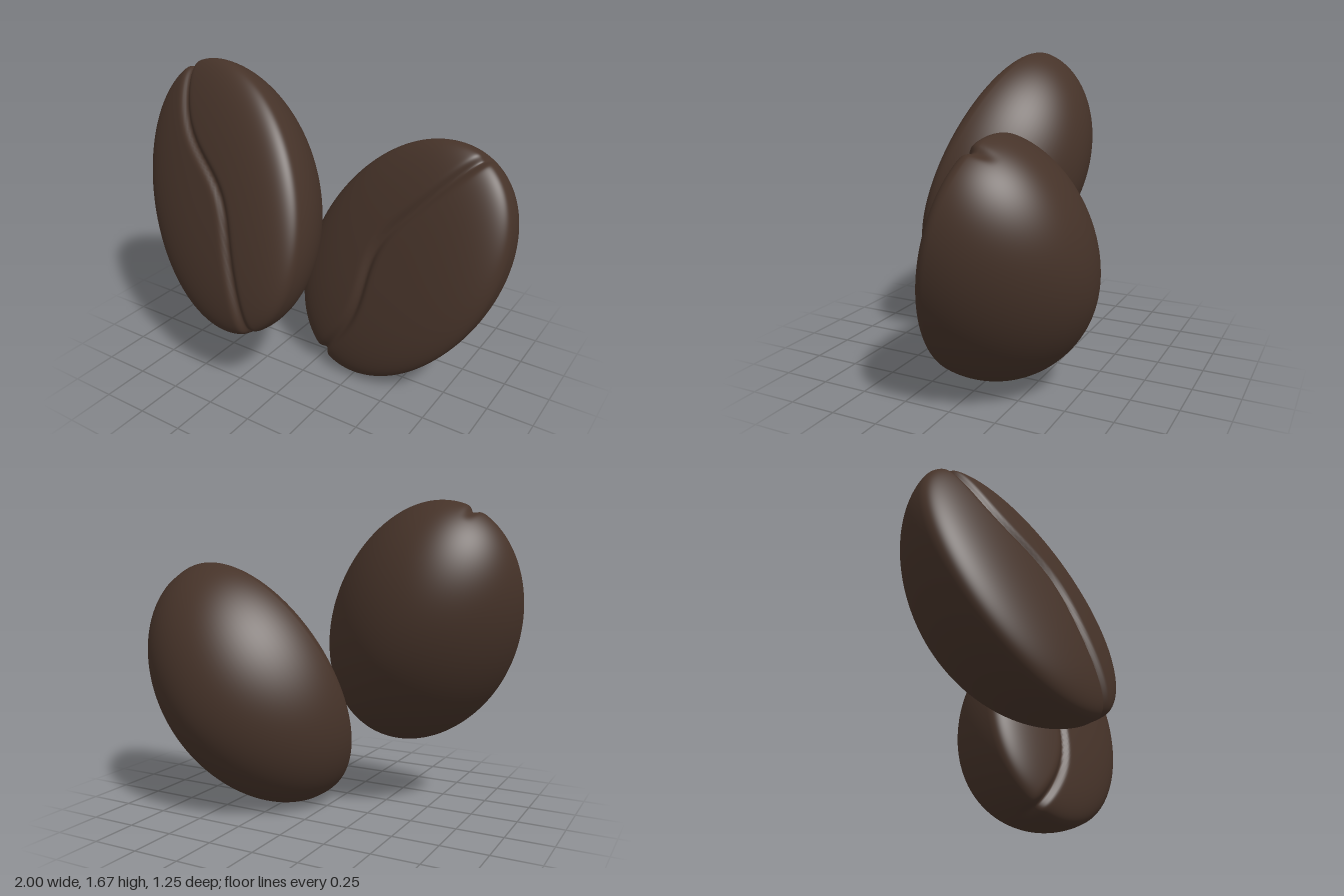
import * as THREE from 'three';
import { mergeVertices } from 'three/addons/utils/BufferGeometryUtils.js';

const HALF_W = 0.515, HALF_L = 0.738, FACE_H = 0.15;
const ROWS = 130, FRONT = 120, BACK = 48;

// Sideways position of the S-shaped seam along the bean's length
const seam = (v) => {
  const s = v / HALF_L;
  return 0.1 * Math.exp(-((s / 0.4) ** 2)) - 0.045 * Math.sin(Math.PI * s);
};

// Superellipse height over the oval outline, rho = 0 at centre and 1 at the rim
const bulge = (rho, n) => Math.pow(Math.max(0, 1 - Math.pow(rho, n)), 1 / n);

// Bean lofted tip to tip: flattish face towards +z, deep dome towards -z
function beanGeometry(domeHeight) {
  const pos = [], index = [], loop = FRONT + BACK;
  for (let i = 0; i <= ROWS; i++) {
    const tau = (Math.PI * i) / ROWS;
    const s = -Math.cos(tau), k = Math.sin(tau);
    for (let j = 0; j < loop; j++) {
      const front = j < FRONT;
      const a = front ? (j / FRONT - 0.5) * Math.PI : (0.5 - (j - FRONT) / BACK) * Math.PI;
      const t = Math.sin(a);
      const rho = Math.min(1, Math.hypot(s, k * t));
      const w = front ? FACE_H * bulge(rho, 2.4) : -domeHeight * bulge(rho, 1.85);
      pos.push(HALF_W * k * t, HALF_L * s, w);
      if (i < ROWS) {
        const p = i * loop + j, q = i * loop + ((j + 1) % loop);
        index.push(p, q, p + loop, q, q + loop, p + loop);
      }
    }
  }
  let geo = new THREE.BufferGeometry();
  geo.setAttribute('position', new THREE.Float32BufferAttribute(pos, 3));
  geo.setIndex(index);
  geo = mergeVertices(geo, 1e-5);
  geo.computeVertexNormals();

  // Press the seam inwards along the normals, fading out just behind the rim
  const P = geo.attributes.position, N = geo.attributes.normal;
  for (let i = 0; i < P.count; i++) {
    const u = P.getX(i), v = P.getY(i), w = P.getZ(i);
    const d = (u - seam(v)) / 0.026;
    const depth = 0.026 * Math.exp(-d * d) * THREE.MathUtils.smoothstep(w, -0.12, 0.05);
    P.setXYZ(i, u - N.getX(i) * depth, v - N.getY(i) * depth, w - N.getZ(i) * depth);
  }
  return geo;
}

// Turn a bean so its face looks along `normal` and its length runs along (dx, dy),
// then centre it on `centre`
function makeBean(name, domeHeight, material, normal, [dx, dy], centre) {
  const w = new THREE.Vector3(...normal);
  const v = new THREE.Vector3(dx, dy, -(w.x * dx + w.y * dy) / w.z).normalize();
  w.normalize();
  const u = new THREE.Vector3().crossVectors(v, w);
  const geo = beanGeometry(domeHeight);
  geo.applyMatrix4(new THREE.Matrix4().makeBasis(u, v, w));
  geo.center();
  geo.computeVertexNormals();
  const mesh = new THREE.Mesh(geo, material);
  mesh.name = name;
  mesh.position.set(...centre);
  return mesh;
}

export function createModel() {
  const group = new THREE.Group();
  group.name = 'coffeeBeans';
  const roast = new THREE.MeshStandardMaterial({ color: 0x463329 });
  group.add(
    makeBean('frontBean', 0.535, roast, [-0.13, 0.31, 1], [-0.48, 0.877], [-0.43, 0.995, 0.205]),
    // Turned half round so its seam curves the other way
    makeBean('rearBean', 0.57, roast, [-0.08, 0.27, 1], [-0.525, -0.851], [0.425, 0.67, -0.225]),
  );
  return group;
}
